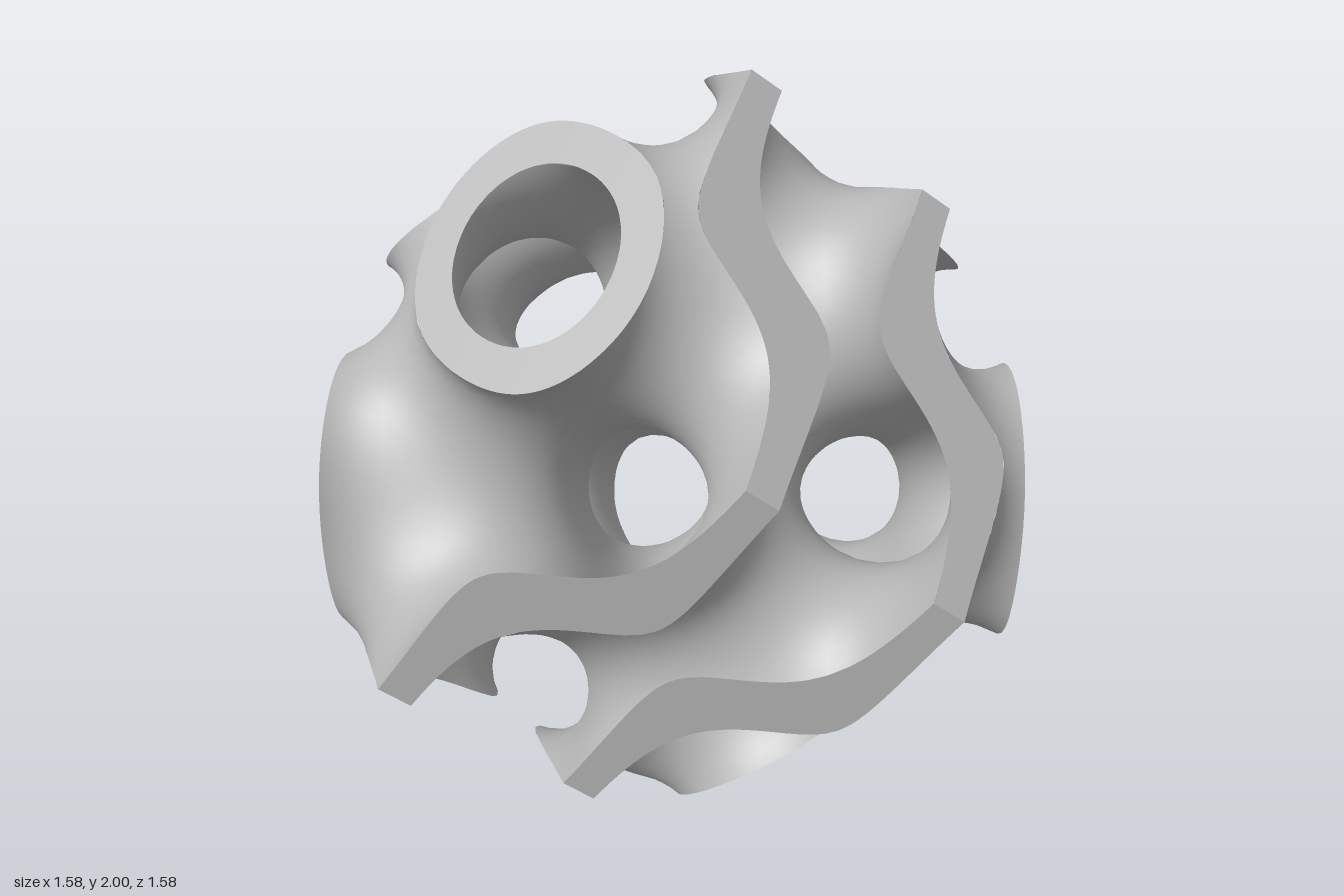
import * as THREE from 'three';

const L = 1.1156;            // gyroid period = half diagonal of the rhombic dodecahedron
const K = (2 * Math.PI) / L;
const R = Math.SQRT1_2;
const WALL = 0.4;            // the solid sheet is where |field| < WALL

// Gyroid field with a labyrinth node at the centre, cubic axes turned 45 degrees about y
function field(p) {
  const a = K * R * (p.x + p.z), b = K * R * (p.x - p.z), c = -K * p.y;
  return 0.5 * (Math.cos(a + b) + Math.cos(b + c) + Math.cos(c + a)
    - Math.sin(a - b) - Math.sin(b - c) - Math.sin(c - a));
}

function gradient(p) {
  const e = 1e-4, g = new THREE.Vector3();
  for (const k of ['x', 'y', 'z']) {
    const q = p.clone(), r = p.clone();
    q[k] += e;
    r[k] -= e;
    g[k] = field(q) - field(r);
  }
  return g.normalize();
}

// The cubic frame of the dodecahedron, in model space
const AXES = [new THREE.Vector3(R, 0, R), new THREE.Vector3(R, 0, -R), new THREE.Vector3(0, -1, 0)];

// Twelve rhombic faces: normal, a sharp corner and the two edges leaving it
const faces = [];
for (let i = 0; i < 3; i++) {
  const j = (i + 1) % 3, k = (i + 2) % 3;
  for (const si of [-1, 1]) for (const sj of [-1, 1]) {
    const vi = AXES[i].clone().multiplyScalar(si), vj = AXES[j].clone().multiplyScalar(sj);
    const along = vj.clone().sub(vi).multiplyScalar(L / 2);
    const side = AXES[k].clone().multiplyScalar(L / 2);
    faces.push({
      normal: vi.clone().add(vj).normalize(),
      corner: vi.clone().multiplyScalar(L),
      u: along.clone().add(side),
      v: along.clone().sub(side),
    });
  }
}
const inradius = L * R;

// Point on segment pq where fn is zero
function crossing(p, q, fn) {
  let lo = 0, hi = 1, fl = fn(p), fh = fn(q), t = 0;
  const m = new THREE.Vector3();
  for (let n = 0; n < 4; n++) {
    t = lo + (hi - lo) * fl / (fl - fh);
    m.lerpVectors(p, q, t);
    const f = fn(m);
    if (Math.abs(f) < 1e-7) break;
    if ((f > 0) === (fl > 0)) { lo = t; fl = f; } else { hi = t; fh = f; }
  }
  return m;
}

// Keep the part of a polygon where fn >= 0
function clip(poly, fn) {
  const values = poly.map(fn);
  if (values.every((v) => v >= 0)) return poly;
  const out = [];
  poly.forEach((p, i) => {
    const n = (i + 1) % poly.length;
    if (values[i] >= 0) out.push(p);
    if ((values[i] >= 0) !== (values[n] >= 0)) out.push(crossing(p, poly[n], fn));
  });
  return out;
}

// Collects polygons as triangles wound to agree with their normals
class Surface {
  constructor() { this.pos = []; this.nor = []; }
  add(poly, normalAt) {
    const e1 = new THREE.Vector3(), e2 = new THREE.Vector3();
    for (let i = 1; i + 1 < poly.length; i++) {
      const tri = [poly[0], poly[i], poly[i + 1]];
      e1.subVectors(tri[1], tri[0]);
      e2.subVectors(tri[2], tri[0]);
      e1.cross(e2);
      if (e1.length() < 1e-9) continue;
      if (e1.dot(normalAt(tri[0])) < 0) tri.reverse();
      for (const p of tri) {
        this.pos.push(p.x, p.y, p.z);
        this.nor.push(...normalAt(p).toArray());
      }
    }
  }
  mesh(name, material) {
    const g = new THREE.BufferGeometry();
    g.setAttribute('position', new THREE.Float32BufferAttribute(this.pos, 3));
    g.setAttribute('normal', new THREE.Float32BufferAttribute(this.nor, 3));
    const m = new THREE.Mesh(g, material);
    m.name = name;
    return m;
  }
}

// One skin of the sheet, by marching tetrahedra, trimmed to the dodecahedron
function buildSkin(level) {
  const skin = new Surface();
  const sign = Math.sign(level);
  const fn = (p) => field(p) - level;
  const normalAt = (p) => gradient(p).multiplyScalar(sign);
  const planes = faces.map((f) => (p) => inradius + 1e-9 - f.normal.dot(p));
  const nx = 36, ny = 50, sx = 2 * inradius / nx, sy = 2 * L / ny;
  const orders = [[1, 2, 4], [1, 4, 2], [2, 1, 4], [2, 4, 1], [4, 1, 2], [4, 2, 1]];
  for (let i = 0; i < nx; i++) for (let j = 0; j < ny; j++) for (let k = 0; k < nx; k++) {
    const c = [];
    for (let n = 0; n < 8; n++) {
      c.push(new THREE.Vector3(
        -inradius + sx * (i + (n & 1)),
        -L + sy * (j + ((n >> 1) & 1)),
        -inradius + sx * (k + (n >> 2))));
    }
    if (planes.some((pl) => c.every((p) => pl(p) < 0))) continue;
    const val = c.map(fn);
    if (val.every((v) => v >= 0) || val.every((v) => v < 0)) continue;
    for (const [a, b] of orders) {
      const tet = [0, a, a + b, 7];
      const ins = tet.filter((n) => val[n] >= 0), outs = tet.filter((n) => val[n] < 0);
      if (!ins.length || !outs.length) continue;
      const cut = (m, n) => crossing(c[m], c[n], fn);
      let poly;
      if (ins.length === 2) {
        poly = [cut(ins[0], outs[0]), cut(ins[0], outs[1]), cut(ins[1], outs[1]), cut(ins[1], outs[0])];
      } else {
        poly = ins.length === 1 ? outs.map((n) => cut(ins[0], n)) : ins.map((n) => cut(n, outs[0]));
      }
      for (const pl of planes) if (poly.length) poly = clip(poly, pl);
      skin.add(poly, normalAt);
    }
  }
  return skin;
}

// Flat cut edges of the sheet on one rhombic face
function buildCut(face) {
  const cut = new Surface();
  const n = 36;
  const at = (i, j) => face.corner.clone().addScaledVector(face.u, i / n).addScaledVector(face.v, j / n);
  const normalAt = () => face.normal;
  for (let i = 0; i < n; i++) for (let j = 0; j < n; j++) {
    const a = at(i, j), b = at(i + 1, j), c = at(i + 1, j + 1), d = at(i, j + 1);
    for (let poly of [[a, b, c], [a, c, d]]) {
      poly = clip(poly, (p) => WALL - field(p));
      if (poly.length) poly = clip(poly, (p) => WALL + field(p));
      cut.add(poly, normalAt);
    }
  }
  return cut;
}

export function createModel() {
  const grey = new THREE.MeshStandardMaterial({ color: 0xb8b8b8 });
  grey.name = 'grey';
  const group = new THREE.Group();
  group.name = 'gyroidDodecahedron';
  group.add(buildSkin(WALL).mesh('innerLabyrinthSkin', grey));
  group.add(buildSkin(-WALL).mesh('outerLabyrinthSkin', grey));
  faces.forEach((f, i) => group.add(buildCut(f).mesh('cutFace' + (i + 1), grey)));
  group.children.forEach((m) => { m.position.y = 1; });
  return group;
}
